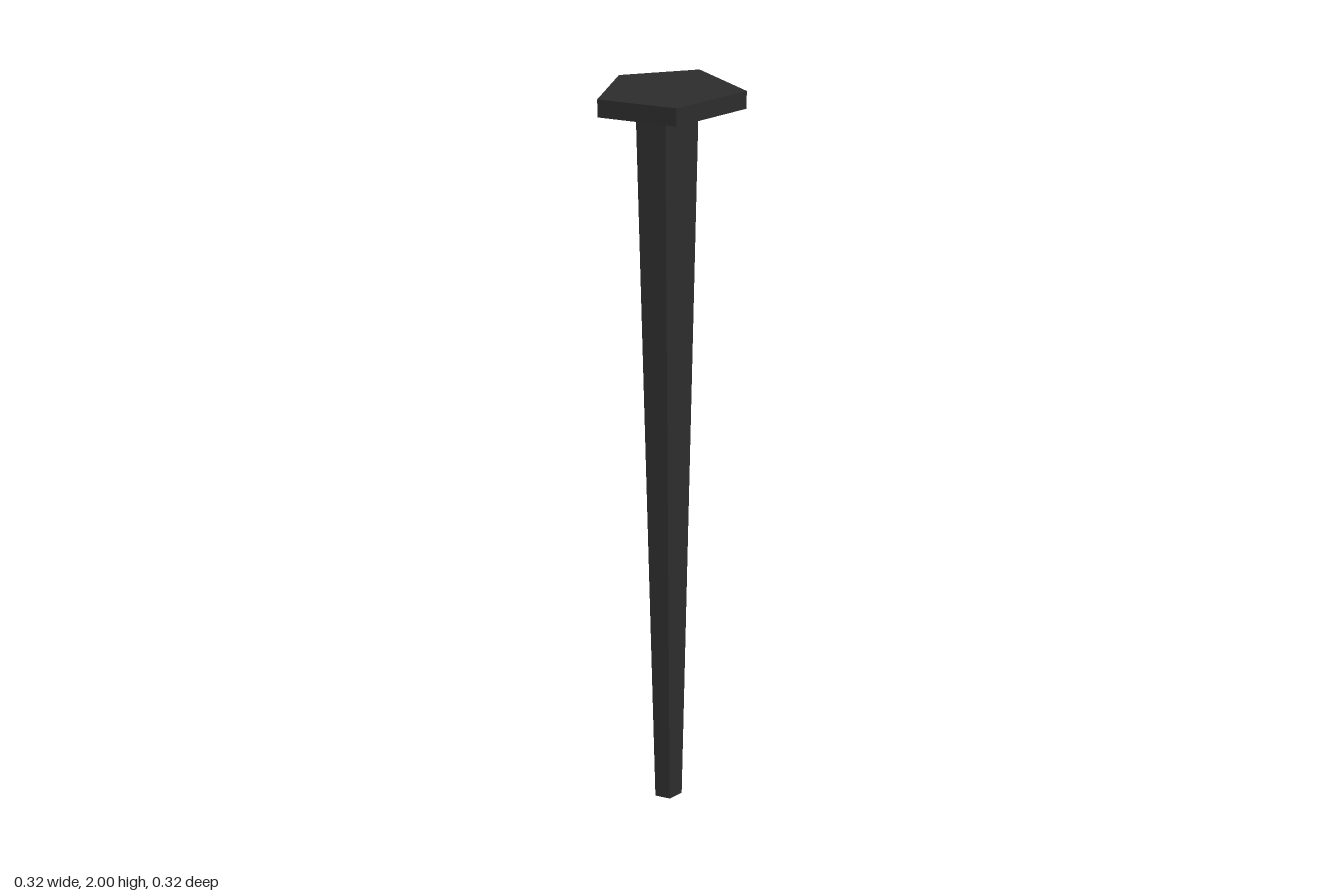
import * as THREE from 'three';

// Lofts a closed solid between two five-cornered outlines ([x, z], counterclockwise from above).
function loft(bottom, top, y0, y1) {
  const lo = bottom.map(([x, z]) => [x, y0, z]);
  const hi = top.map(([x, z]) => [x, y1, z]);
  const n = lo.length, pos = [];
  const tri = (a, b, c) => pos.push(...a, ...b, ...c);
  for (let i = 0; i < n; i++) {
    const j = (i + 1) % n;
    tri(lo[i], lo[j], hi[j]);
    tri(lo[i], hi[j], hi[i]);
  }
  for (let i = 1; i < n - 1; i++) {
    tri(hi[0], hi[i], hi[i + 1]);
    tri(lo[0], lo[i + 1], lo[i]);
  }
  const g = new THREE.BufferGeometry();
  g.setAttribute('position', new THREE.Float32BufferAttribute(pos, 3));
  g.computeVertexNormals();
  return g;
}

export function createModel() {
  const group = new THREE.Group();
  group.name = 'nail';
  const iron = new THREE.MeshStandardMaterial({ color: 0x2d2d2d });
  iron.name = 'dark iron';

  const add = (name, geometry) => {
    const mesh = new THREE.Mesh(geometry, iron);
    mesh.name = name;
    group.add(mesh);
  };

  // Flat five-sided head
  const head = [[-0.114, 0.158], [0.072, 0.148], [0.157, -0.04], [-0.011, -0.16], [-0.159, -0.039]];
  add('head', loft(head, head, 1.96, 2));

  // Hand-forged shank, narrowing to a blunt tip
  const shankTop = [[-0.06, 0.078], [0.008, 0.069], [0.058, 0], [-0.018, -0.06], [-0.079, -0.02]];
  const shankTip = [[-0.035, 0.055], [0.007, 0.05], [0.027, 0.013], [-0.013, -0.016], [-0.045, 0.004]];
  add('shank', loft(shankTip, shankTop, 0, 1.96));

  return group;
}
